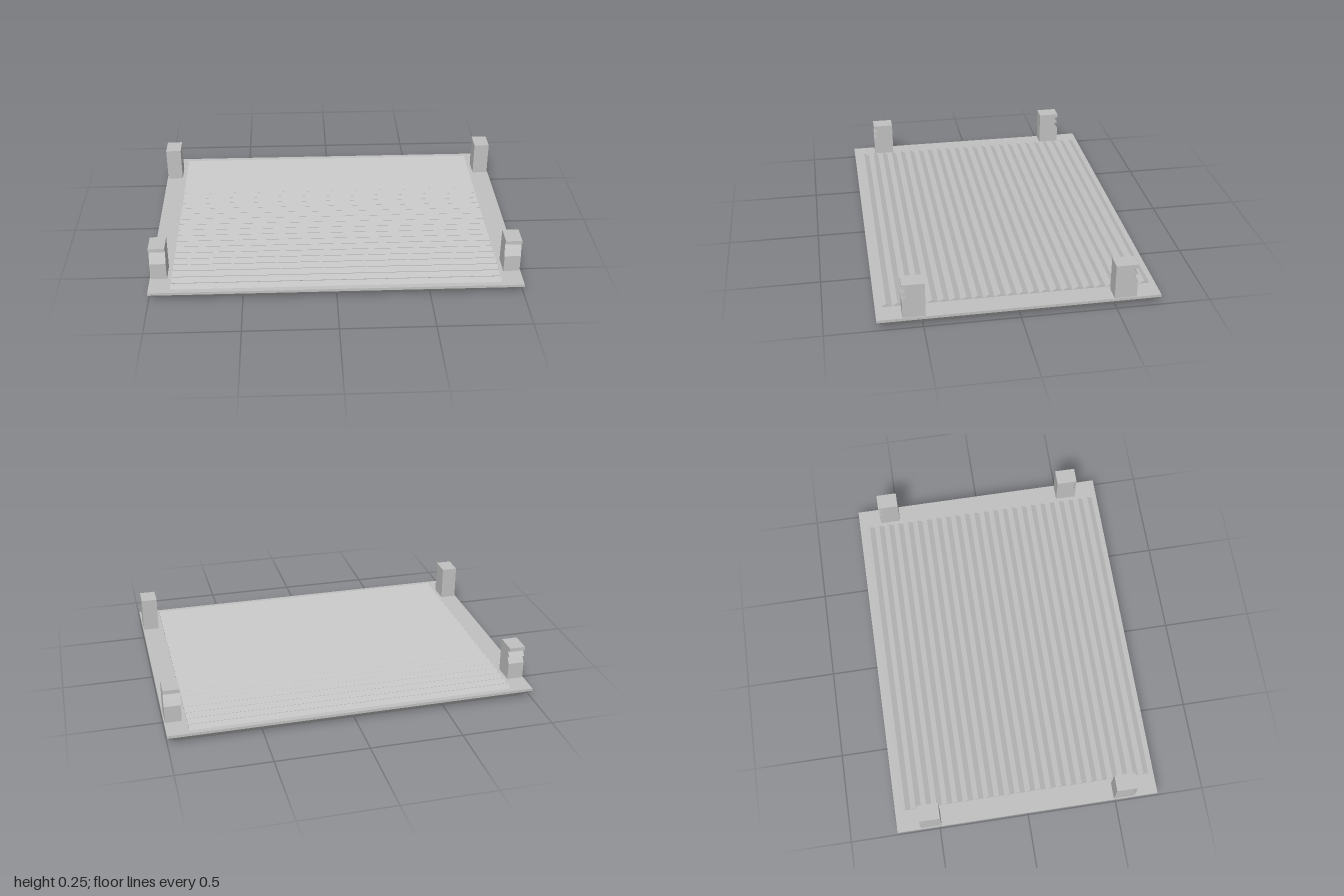
import * as THREE from 'three';

// Extrude a closed [a, b] outline by depth, centred along its local z
function prism(points, depth, material, name) {
  const shape = new THREE.Shape(points.map(([a, b]) => new THREE.Vector2(a, b)));
  const geo = new THREE.ExtrudeGeometry(shape, { depth, bevelEnabled: false });
  geo.translate(0, 0, -depth / 2);
  const mesh = new THREE.Mesh(geo, material);
  mesh.name = name;
  return mesh;
}

export function createModel() {
  const model = new THREE.Group();
  model.name = 'ridgedTray';
  const grey = new THREE.MeshStandardMaterial({ color: 0xc0c0c0 });
  grey.name = 'plain grey';

  const W = 1, D = 0.735, rimY = 0.045, topY = 0.06;

  // Flat rim of the plate
  const rim = new THREE.Mesh(new THREE.BoxGeometry(2 * W, topY - rimY, 2 * D), grey);
  rim.position.y = (rimY + topY) / 2;
  rim.name = 'plateRim';
  model.add(rim);

  // Underside, chamfered inward towards the floor
  const baseGeo = new THREE.BoxGeometry(2 * W, rimY, 2 * D).toNonIndexed();
  const pos = baseGeo.attributes.position;
  for (let i = 0; i < pos.count; i++) {
    if (pos.getY(i) < 0) {
      pos.setX(i, Math.sign(pos.getX(i)) * (W - 0.045));
      pos.setZ(i, Math.sign(pos.getZ(i)) * (D - 0.045));
    }
  }
  baseGeo.computeVertexNormals();
  const base = new THREE.Mesh(baseGeo, grey);
  base.position.y = rimY / 2;
  base.name = 'chamferedBase';
  model.add(base);

  // Row of triangular ridges running along x
  const count = 24, pitch = 0.0588;
  const ridges = new THREE.Group();
  ridges.name = 'ridges';
  for (let i = 0; i < count; i++) {
    const ridge = prism([[-pitch / 2, 0], [pitch / 2, 0], [0, 0.017]], 1.764, grey, 'ridge');
    ridge.rotation.y = Math.PI / 2;
    ridge.position.set(0, topY, (i - (count - 1) / 2) * pitch);
    ridges.add(ridge);
  }
  model.add(ridges);

  // Corner clips with two barbs on the outer face
  const inner = 0.487, outer = 0.604, notch = 0.581;
  const profile = [
    [inner, topY], [outer, topY], [outer, 0.155], [notch, 0.188], [outer, 0.194],
    [notch, 0.224], [outer, 0.23], [outer, 0.251], [inner, 0.251],
  ];
  for (const sx of [-1, 1]) {
    for (const sz of [-1, 1]) {
      const clip = prism(profile, 0.088, grey, (sz > 0 ? 'front' : 'back') + (sx > 0 ? 'Left' : 'Right') + 'Clip');
      clip.rotation.y = -sz * Math.PI / 2;
      clip.position.x = sx * 0.951;
      model.add(clip);
    }
  }
  return model;
}
